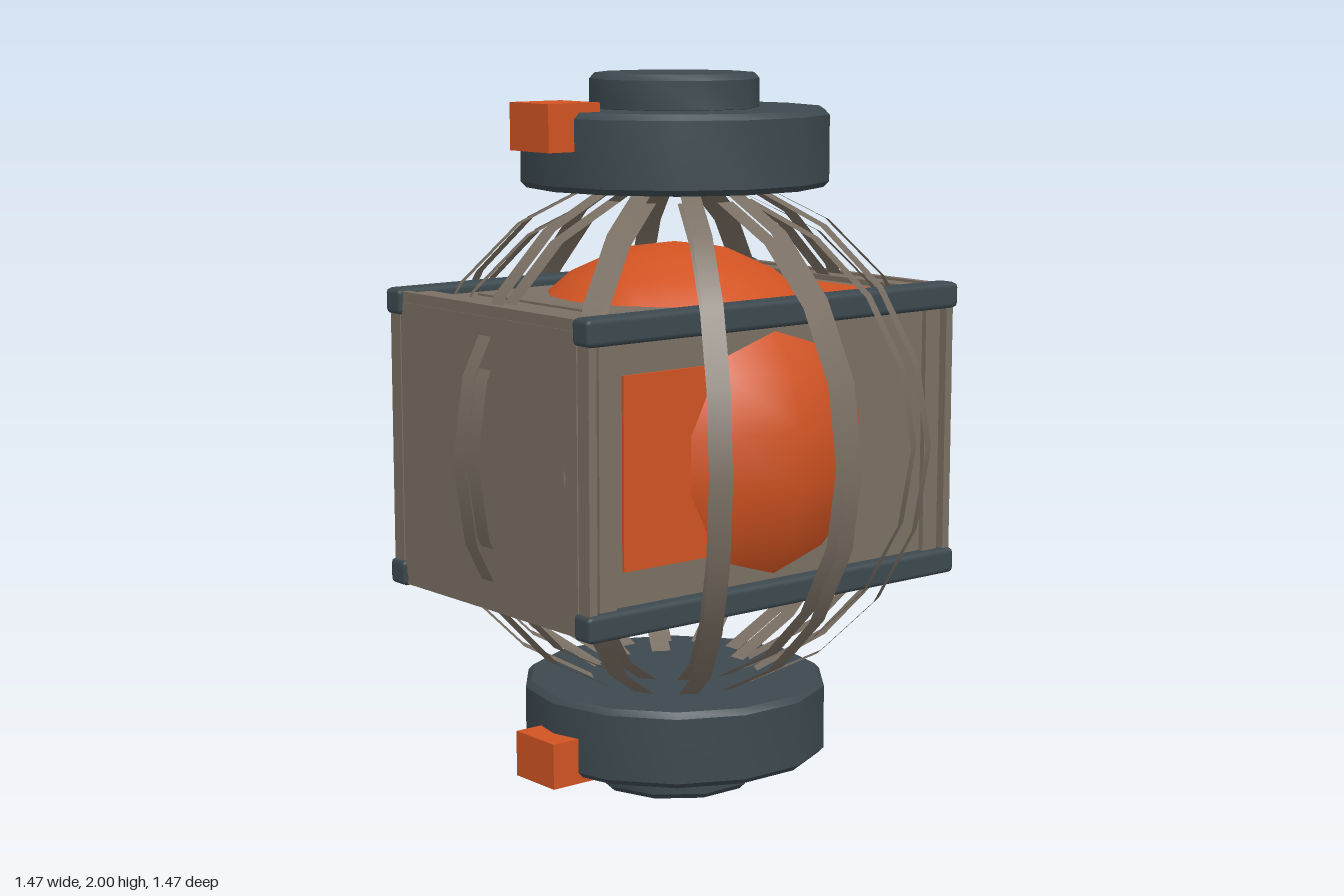
import * as THREE from 'three';
import { toCreasedNormals } from 'three/addons/utils/BufferGeometryUtils.js';
import { RoundedBoxGeometry } from 'three/addons/geometries/RoundedBoxGeometry.js';

const material = (name, color, extra = {}) => {
  const m = new THREE.MeshStandardMaterial({ color, ...extra });
  m.name = name;
  return m;
};

export function createModel() {
  const slate = material('dark slate', 0x3c494f);
  const taupe = material('taupe metal', 0x7a6f63);
  const taupeThin = taupe;
  taupeThin.side = THREE.DoubleSide;
  const orange = material('orange', 0xd15322);

  const model = new THREE.Group();
  model.name = 'cagedLantern';

  const add = (name, geometry, mat, parent = model) => {
    const mesh = new THREE.Mesh(geometry, mat);
    mesh.name = name;
    parent.add(mesh);
    return mesh;
  };
  // box given by its min and max on each axis
  const box = (name, mat, [x0, x1], [y0, y1], [z0, z1]) => {
    const mesh = add(name, new THREE.BoxGeometry(x1 - x0, y1 - y0, z1 - z0), mat);
    mesh.position.set((x0 + x1) / 2, (y0 + y1) / 2, (z0 + z1) / 2);
    return mesh;
  };
  // chamfered disc from y0 to y1
  const disc = (r, y0, y1, sides) => {
    const b = 0.016;
    const profile = [[0, y0], [r - b, y0], [r, y0 + b], [r, y1 - b], [r - b, y1], [0, y1]]
      .map(([x, y]) => new THREE.Vector2(x, y));
    return toCreasedNormals(new THREE.LatheGeometry(profile, sides), 0.66);
  };

  // round end caps, mirrored top and bottom
  for (const s of [1, -1]) {
    const cap = new THREE.Group();
    cap.name = s > 0 ? 'topCap' : 'bottomCap';
    cap.position.y = 1;
    if (s < 0) cap.rotation.x = Math.PI;
    add('wideDisc', disc(0.43, 0.693, 0.905, 14), slate, cap);
    add('endDisc', disc(0.234, 0.89, 1, 10), slate, cap);
    model.add(cap);
    const y = s > 0 ? [1.803, 1.93] : [0.08, 0.207];
    box('markerBlock', orange, [-0.085, 0.085], y, [0.325, 0.495]);
  }

  // glowing core
  add('core', new THREE.SphereGeometry(0.537, 16, 11), orange).position.y = 1;

  // box body: inner block, end panels, corner posts and cross beams
  box('body', taupe, [-0.42, 0.42], [0.61, 1.39], [-0.635, 0.635]);
  for (const s of [1, -1]) {
    const span = (a, b) => (s > 0 ? [a, b] : [-b, -a]);
    box('endPanel', taupe, [-0.395, 0.395], [0.62, 1.38], span(0.6, 0.645));
    for (const t of [1, -1]) {
      const xs = (a, b) => (t > 0 ? [a, b] : [-b, -a]);
      box('outerPost', taupe, xs(0.4, 0.445), [0.62, 1.38], span(0.62, 0.645));
      box('innerPost', taupe, xs(0.4, 0.435), [0.62, 1.38], span(0.55, 0.605));
      const ys = t > 0 ? (a, b) => [1 + a, 1 + b] : (a, b) => [1 - b, 1 - a];
      box('outerBeam', taupe, [-0.39, 0.39], ys(0.37, 0.41), span(0.62, 0.643));
      box('innerBeam', taupe, [-0.39, 0.39], ys(0.37, 0.405), span(0.55, 0.605));
      // chamfered long rails
      add('rail', new RoundedBoxGeometry(0.075, 0.073, 1.31, 1, 0.015), slate)
        .position.set(s * 0.422, 1 + t * 0.38, 0);
    }
  }

  // thin cover plates
  box('topPlate', taupe, [-0.32, 0.32], [1.389, 1.396], [-0.1, 0.44]);
  box('topInsert', orange, [-0.3, 0.3], [1.389, 1.398], [-0.475, 0.1]);
  box('sideInsert', orange, [0.419, 0.428], [0.75, 1.26], [0.01, 0.52]);
  box('sideChip', orange, [-0.426, -0.419], [1.19, 1.26], [0.46, 0.52]);

  // cage ribs: two thin bands per rib, following a circle around the core
  const band = (r) => new THREE.CylinderGeometry(
    r, r, 0.055, 8, 1, true, THREE.MathUtils.degToRad(18), THREE.MathUtils.degToRad(144));
  const bands = [band(0.733), band(0.692)];
  for (let i = 0; i < 12; i++) {
    const rib = new THREE.Group();
    rib.name = 'cageRib';
    rib.position.y = 1;
    rib.rotation.y = (i * Math.PI) / 6;
    bands.forEach((g, k) => {
      add(k ? 'innerBand' : 'outerBand', g, taupeThin, rib).rotation.x = Math.PI / 2;
    });
    model.add(rib);
  }

  return model;
}
